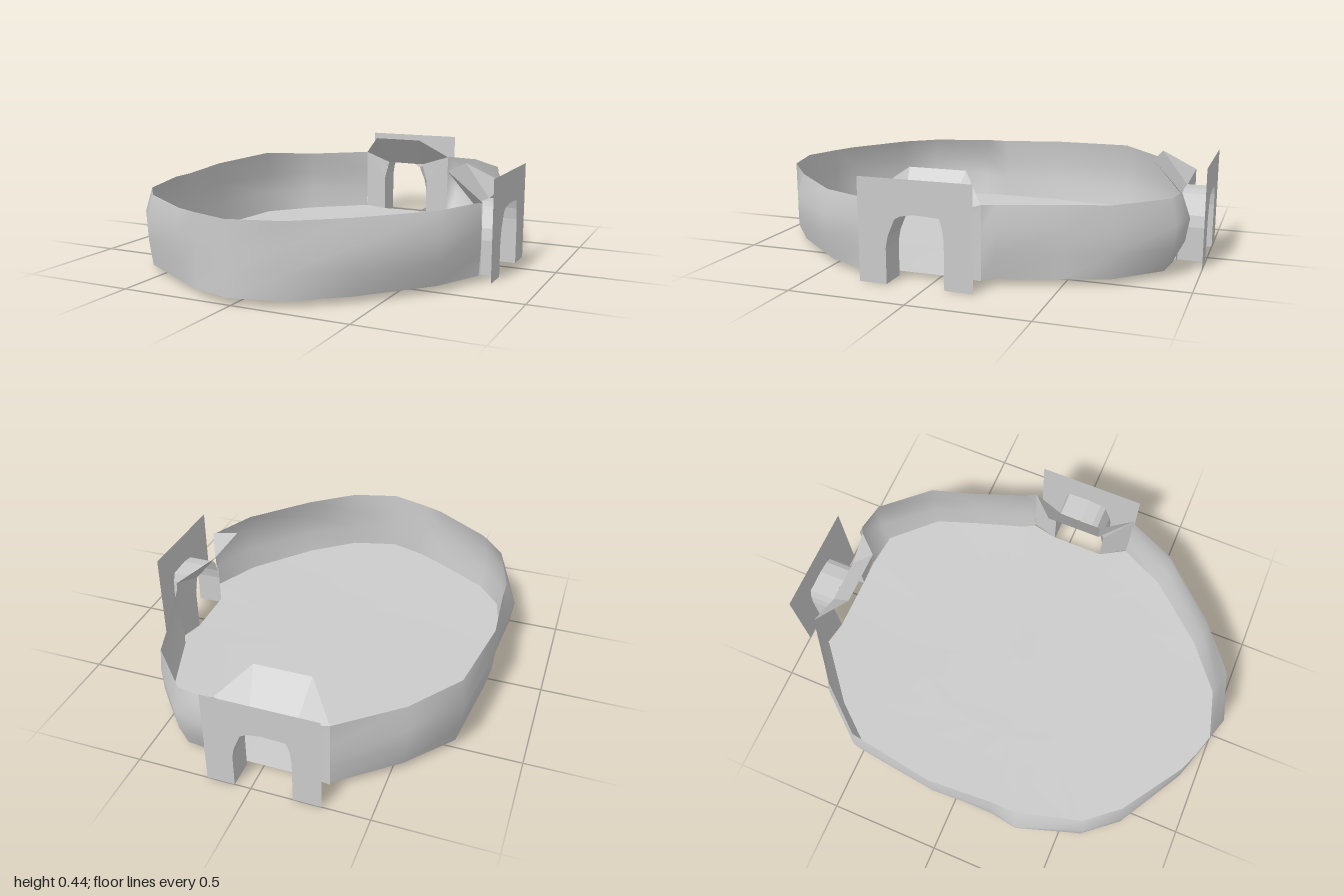
import * as THREE from 'three';

const material = new THREE.MeshStandardMaterial({ color: 0xcccccc, side: THREE.DoubleSide });
const flatMaterial = material.clone();
flatMaterial.flatShading = true;

function mesh(name, geometry, mat = material) {
  const m = new THREE.Mesh(geometry, mat);
  m.name = name;
  return m;
}

// Skin between equal-length rows of points
function loft(rows) {
  const n = rows[0].length, index = [];
  for (let r = 0; r < rows.length - 1; r++) {
    for (let i = 0; i < n - 1; i++) {
      const a = r * n + i, b = a + n;
      index.push(a, b, a + 1, a + 1, b, b + 1);
    }
  }
  const g = new THREE.BufferGeometry();
  g.setAttribute('position', new THREE.Float32BufferAttribute(rows.flat(2), 3));
  g.setIndex(index);
  g.computeVertexNormals();
  return g;
}

// Wall outline at its widest: x, z, inset at bottom, inset at top, top height
const mainWall = [
  [0.755, 0.29, 0.01, 0.01, 0.335], [0.67, 0.53, 0.04, 0.03, 0.333], [0.42, 0.8, 0.03, 0.03, 0.333],
  [0.2, 0.94, 0, 0, 0.333], [-0.02, 1, 0, 0, 0.333], [-0.19, 0.945, 0, 0, 0.333],
  [-0.3, 0.91, 0.02, 0.01, 0.333], [-0.58, 0.745, 0.02, 0.03, 0.333], [-0.7, 0.6, 0.02, 0.03, 0.333],
  [-0.8, 0.32, 0.05, 0.05, 0.335], [-0.765, 0.19, 0.01, 0.01, 0.335], [-0.785, -0.1, 0.03, 0.01, 0.345],
  [-0.735, -0.5, 0.03, 0.02, 0.355], [-0.56, -0.71, 0.03, 0.02, 0.335], [-0.3, -0.9, 0.01, 0, 0.335],
];
const cornerWall = [
  [0.19, -0.89, 0.01, 0, 0.335], [0.23, -0.945, 0.07, 0.04, 0.335], [0.36, -0.91, 0.05, 0.03, 0.335],
  [0.54, -0.69, 0.02, 0.01, 0.333], [0.6, -0.5, 0.01, 0.01, 0.333], [0.7, -0.26, 0.03, 0.02, 0.333],
  [0.71, -0.2, 0.01, 0, 0.335],
];

// Move a wall point toward the centre by d
function inset([x, z], d, y) {
  const k = 1 - d / Math.hypot(x, z);
  return [x * k, y, z * k];
}

const wallRows = (pts) => [
  pts.map((p) => inset(p, p[2], 0.027)),
  pts.map((p) => inset(p, p[2] * 0.25, 0.13)),
  pts.map((p) => inset(p, 0, 0.23)),
  pts.map((p) => inset(p, p[3], p[4])),
];

// Arched opening, rounder on one shoulder
const arch = [
  [-0.125, 0], [-0.125, 0.15], [-0.115, 0.2], [-0.085, 0.27], [-0.06, 0.285],
  [0, 0.295], [0.105, 0.29], [0.118, 0.25], [0.125, 0.2], [0.125, 0],
];

// Gateway facing +z; leftZ and rightZ are where the wall ends meet it
function gateway(name, leftZ, rightZ) {
  const g = new THREE.Group();
  g.name = name;

  const outline = [[-0.245, 0], [-0.245, 0.435], [0.245, 0.435], [0.245, 0], ...[...arch].reverse()];
  const plate = new THREE.Shape(outline.map(([u, y]) => new THREE.Vector2(u, y)));
  g.add(mesh('gatePlate', new THREE.ShapeGeometry(plate)));

  const depth = -0.12;
  g.add(mesh('gateTunnel', loft([
    arch.map(([u, y]) => [u, y, 0]),
    arch.map(([u, y]) => [u, y, depth]),
  ]), flatMaterial));

  // Jambs and hood flare from the wall ends to the tunnel mouth
  for (const [s, z] of [[-1, leftZ], [1, rightZ]]) {
    g.add(mesh('gateJamb', loft([
      [[s * 0.245, 0.025, z], [s * 0.125, 0.02, depth]],
      [[s * 0.245, 0.335, z], [s * 0.125, 0.2, depth]],
      [[s * 0.245, 0.335, z], [s * 0.1, 0.288, depth]],
    ]), flatMaterial));
  }
  g.add(mesh('gateHood', loft([
    [[-0.245, 0.335, leftZ], [-0.1, 0.288, depth], [0.1, 0.288, depth], [0.245, 0.335, rightZ]],
    [[-0.245, 0.335, leftZ], [-0.125, 0.435, -0.24], [0.125, 0.435, -0.24], [0.245, 0.335, rightZ]],
  ]), flatMaterial));
  return g;
}

export function createModel() {
  const model = new THREE.Group();
  model.name = 'walledArena';

  const main = wallRows(mainWall), corner = wallRows(cornerWall);
  model.add(mesh('mainWall', loft(main)), mesh('cornerWall', loft(corner)));

  // Slightly sagging floor that reaches both tunnel mouths
  const rim = [
    ...main[0], [-0.18, 0.02, -0.88], [0.07, 0.02, -0.88],
    ...corner[0], [0.68, 0.02, -0.08], [0.68, 0.02, 0.17], main[0][0],
  ];
  model.add(mesh('floor', loft([
    rim,
    rim.map(([x, , z]) => [x * 0.5, 0.014, z * 0.5]),
    rim.map(() => [0, 0.018, 0]),
  ])));

  const sideGate = gateway('sideGate', -0.045, -0.09);
  sideGate.rotation.y = Math.PI / 2;
  sideGate.position.set(0.8, 0, 0.045);

  const backGate = gateway('backGate', -0.11, -0.1);
  backGate.rotation.y = Math.PI;
  backGate.position.set(-0.055, 0, -1);

  model.add(sideGate, backGate);
  return model;
}
